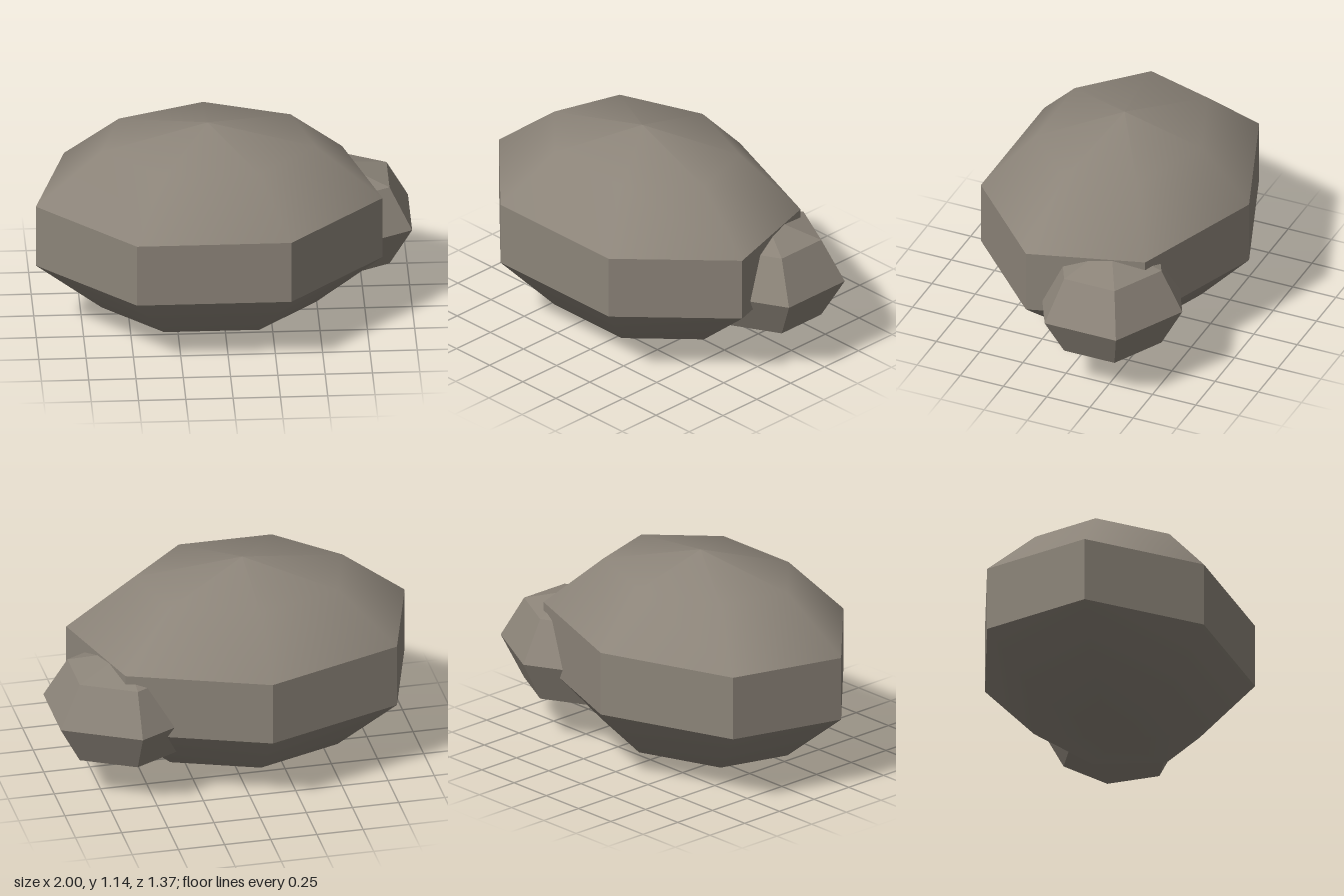
import * as THREE from 'three';

// Faceted solid turned from a [radius, height] profile, one corner facing the back
function turned(name, profile, sides, rx, rz, material, flat) {
  const points = profile.map(([r, y]) => new THREE.Vector2(r, y));
  let geometry = new THREE.LatheGeometry(points, sides, Math.PI);
  geometry.scale(rx, 1, rz);
  if (flat) {
    geometry = geometry.toNonIndexed();
    geometry.computeVertexNormals();
  }
  const mesh = new THREE.Mesh(geometry, material);
  mesh.name = name;
  return mesh;
}

export function createModel() {
  const model = new THREE.Group();
  model.name = 'rocks';
  const stone = new THREE.MeshStandardMaterial({ name: 'stone', color: 0x8c8479 });

  // Large seven-sided boulder: smooth domes above and below a flat-faced band
  const boulder = new THREE.Group();
  boulder.name = 'largeBoulder';
  boulder.position.set(-0.083, 0, 0.035);
  const parts = [
    ['boulderBottom', [[0, 0], [0.617, 0.11], [1, 0.4]], false],
    ['boulderBand', [[1, 0.4], [1, 0.75]], true],
    ['boulderTop', [[1, 0.75], [0.617, 1.035], [0, 1.143]], false],
  ];
  for (const [name, profile, flat] of parts) {
    boulder.add(turned(name, profile, 7, 0.94, 0.72, stone, flat));
  }
  model.add(boulder);

  // Small six-sided rock half sunk into the boulder's back left
  const profile = [[0, 0.143], [0.707, 0.235], [1, 0.46], [0.707, 0.687], [0, 0.777]];
  const rock = turned('smallRock', profile, 6, 0.459, 0.412, stone, true);
  rock.position.set(0.602, 0, -0.194);
  model.add(rock);

  return model;
}
